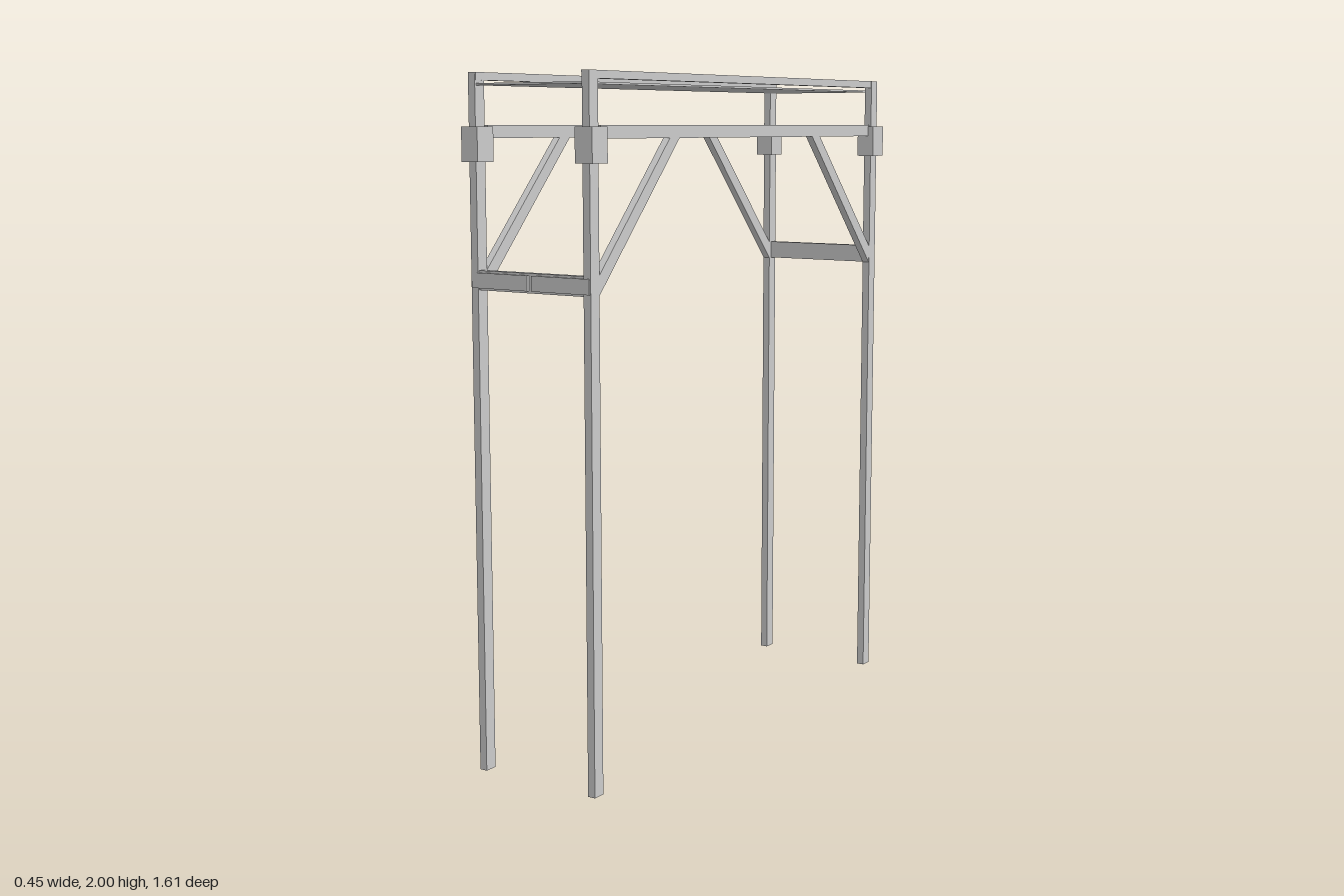
import * as THREE from 'three';

export function createModel() {
  const model = new THREE.Group();
  const material = new THREE.MeshStandardMaterial({ color: 0xcccccc, flatShading: true });

  // Box given by its min and max on each axis
  function box(name, [x0, x1], [y0, y1], [z0, z1]) {
    const mesh = new THREE.Mesh(new THREE.BoxGeometry(x1 - x0, y1 - y0, z1 - z0), material);
    mesh.name = name;
    mesh.position.set((x0 + x1) / 2, (y0 + y1) / 2, (z0 + z1) / 2);
    model.add(mesh);
  }
  // Range mirrored to either side of zero
  const side = (s, a, b) => (s > 0 ? [a, b] : [-b, -a]);

  // Diagonal brace profile, drawn in the z-y plane
  function brace(sx, sz) {
    const points = [[0.752, 1.4], [0.752, 1.455], [0.416, 1.822], [0.368, 1.822]];
    const shape = new THREE.Shape(points.map(([z, y]) => new THREE.Vector2(-z * sz, y)));
    const geometry = new THREE.ExtrudeGeometry(shape, { depth: 0.023, bevelEnabled: false });
    geometry.rotateY(Math.PI / 2);
    const mesh = new THREE.Mesh(geometry, material);
    mesh.name = 'brace';
    mesh.position.x = sx > 0 ? 0.185 : -0.208;
    model.add(mesh);
  }

  for (const sx of [1, -1]) {
    // Long rails on each side
    box('topRail', side(sx, 0.183, 0.207), [1.978, 2], [-0.79, 0.79]);
    box('sideRail', side(sx, 0.185, 0.208), [1.82, 1.856], [-0.74, 0.74]);
    for (const sz of [1, -1]) {
      box('leg', side(sx, 0.185, 0.209), [0, 2], side(sz, 0.752, 0.791));
      box('jointBlock', side(sx, 0.169, 0.227), [1.755, 1.852], side(sz, 0.735, 0.803));
      brace(sx, sz);
    }
  }

  // Cross beams at both ends, each faced with two plates
  for (const sz of [1, -1]) {
    box('crossBeam', [-0.186, 0.186], [1.4, 1.455], side(sz, 0.764, 0.786));
    for (const sx of [1, -1]) {
      box('crossBeamPlate', side(sx, 0.007, 0.206), [1.406, 1.449], side(sz, 0.78, 0.794));
    }
  }

  // Thin roof panel
  box('roofPanel', [-0.186, 0.186], [1.964, 1.97], [-0.785, 0.785]);

  return model;
}
